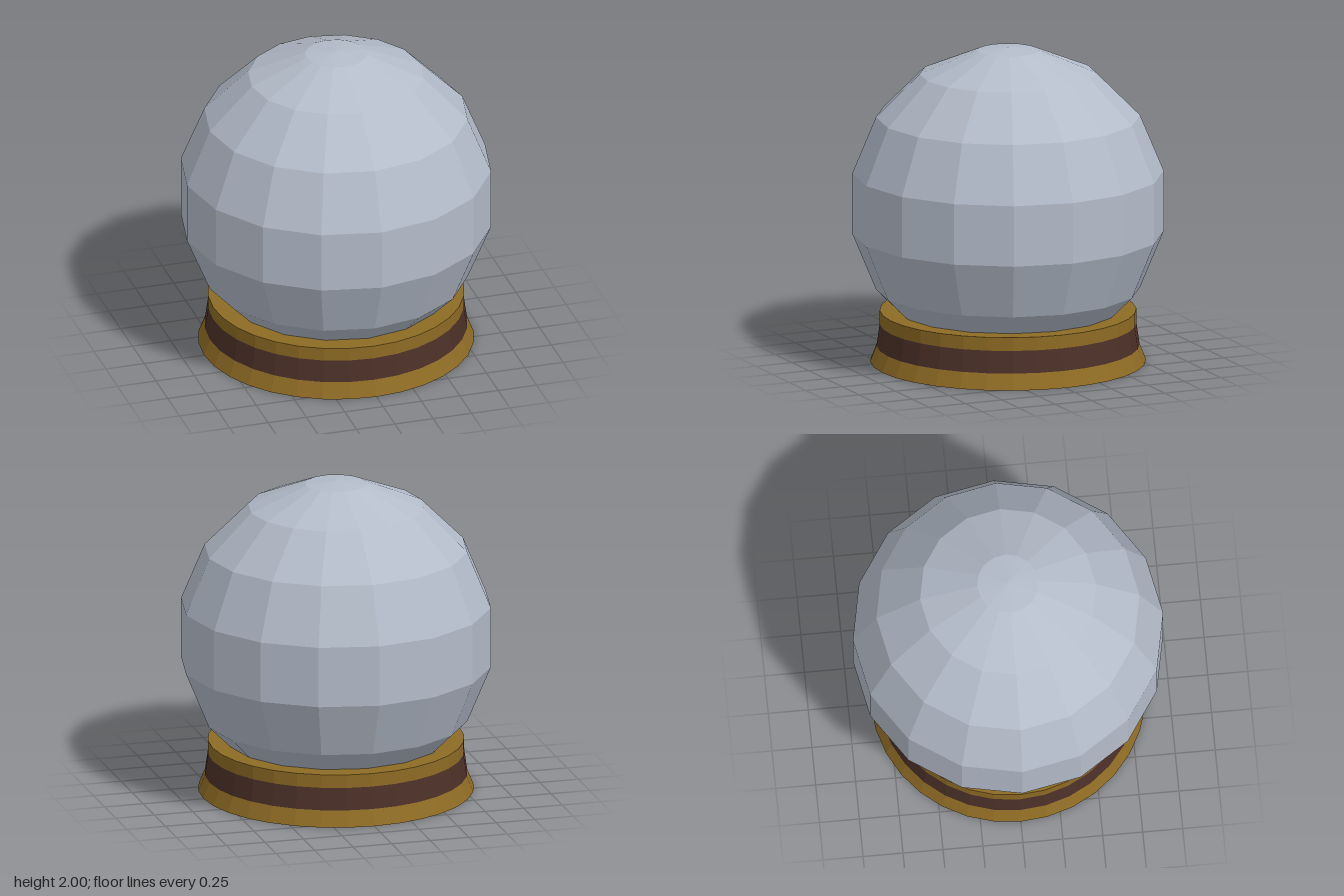
import * as THREE from 'three';

const material = (name, color) => {
  const m = new THREE.MeshStandardMaterial({ color, flatShading: true });
  m.name = name;
  return m;
};

// Faceted turned part from [radius, height] points, listed bottom to top
function turned(name, points, sides, mat) {
  const profile = points.map(([r, y]) => new THREE.Vector2(r, y));
  const mesh = new THREE.Mesh(new THREE.LatheGeometry(profile, sides), mat);
  mesh.name = name;
  return mesh;
}

export function createModel() {
  const glass = material('pale glass', 0xb4bcca);
  const gold = material('old gold', 0x8e6b24);
  const wood = material('dark wood', 0x4c3028);
  const group = new THREE.Group();
  group.name = 'crystalBall';

  // Ball: eight rings straddling the equator, closed by shallow pole caps
  const radius = 0.99, centre = 1.01;
  const rings = [[0, centre - radius]];
  for (let i = 0; i < 8; i++) {
    const a = ((i + 0.5) / 8) * Math.PI;
    rings.push([radius * Math.sin(a), centre - radius * Math.cos(a)]);
  }
  rings.push([0, centre + radius]);
  group.add(turned('ball', rings, 16, glass));

  // Flared stand: gold foot, wooden band, gold collar with flat rim
  const stand = new THREE.Group();
  stand.name = 'stand';
  stand.add(
    turned('standUnderside', [[0, 0], [0.86, 0]], 32, wood),
    turned('foot', [[0.86, 0], [0.82, 0.1]], 32, gold),
    turned('woodBand', [[0.82, 0.1], [0.8, 0.24]], 32, wood),
    turned('collar', [[0.8, 0.24], [0.8, 0.325], [0.6, 0.325]], 32, gold),
  );
  group.add(stand);
  return group;
}
